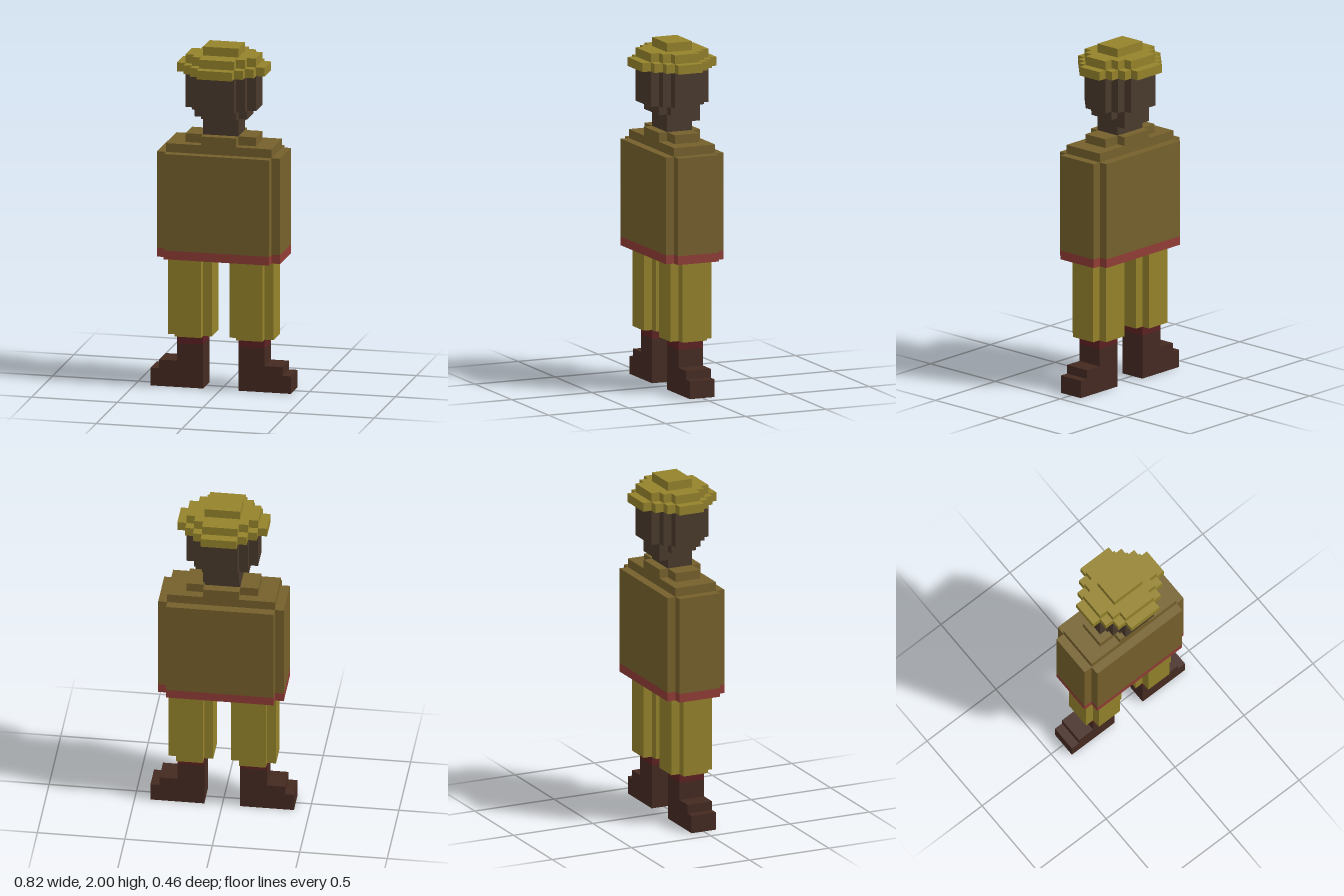
import * as THREE from 'three';

const U = 2 / 39; // one block

const paint = (name, color) => {
  const m = new THREE.MeshStandardMaterial({ color });
  m.name = name;
  return m;
};

// Prism with a stepped outline: steps list [halfX, halfZ] from widest to deepest
function layer(name, mat, y0, y1, steps, x = 0) {
  const quarter = [];
  steps.forEach(([hx, hz], i) => {
    quarter.push([hx, i ? steps[i - 1][1] : 0], [hx, hz]);
  });
  quarter.shift(); // first point lies on the axis
  const back = [...quarter].reverse();
  const pts = [
    ...quarter,
    ...back.map(([a, b]) => [-a, b]),
    ...quarter.map(([a, b]) => [-a, -b]),
    ...back.map(([a, b]) => [a, -b]),
  ].map(([a, b]) => new THREE.Vector2((a + x) * U, b * U));
  const geo = new THREE.ExtrudeGeometry(new THREE.Shape(pts), { depth: (y1 - y0) * U, bevelEnabled: false });
  geo.rotateX(-Math.PI / 2);
  geo.translate(0, y0 * U, 0);
  const mesh = new THREE.Mesh(geo, mat);
  mesh.name = name;
  return mesh;
}

// Boot seen from the front, toe pointing outwards
function boot(mat, side) {
  const pts = [[2, 0], [8, 0], [8, 2], [7, 2], [7, 3], [5, 3], [5, 5], [2, 5]];
  const shape = new THREE.Shape(pts.map(([x, y]) => new THREE.Vector2(side * x * U, y * U)));
  const geo = new THREE.ExtrudeGeometry(shape, { depth: 3 * U, bevelEnabled: false });
  geo.translate(0, 0, -1.5 * U);
  const mesh = new THREE.Mesh(geo, mat);
  mesh.name = 'boot';
  return mesh;
}

export function createModel() {
  const skin = paint('skin', 0x4a3a2c);
  const olive = paint('olive cloth', 0x95832b);
  const coat = paint('brown coat', 0x76612c);
  const red = paint('red hem', 0x913d35);
  const cuffRed = paint('dark red cuff', 0x5e2122);
  const leather = paint('boot leather', 0x452a21);

  const model = new THREE.Group();
  model.name = 'figure';

  // Legs
  for (const side of [1, -1]) {
    const leg = new THREE.Group();
    leg.name = side > 0 ? 'leftLeg' : 'rightLeg';
    leg.add(
      boot(leather, side),
      layer('cuff', cuffRed, 5, 6, [[1.5, 1.5]], side * 3.5),
      layer('trouserLeg', olive, 6, 15, [[2.5, 1.5], [1.5, 2.5]], side * 3.5),
    );
    model.add(leg);
  }

  // Coat
  const body = [[7, 2.5], [6, 3.5]];
  model.add(
    layer('hem', red, 15, 16, body),
    layer('torso', coat, 16, 27, body),
    layer('shoulders', coat, 27, 28, [[6, 2.5]]),
    layer('collar', coat, 28, 29, [[4, 1.5], [2, 2.5]]),
  );

  // Head
  const round = [[4, 1.5], [3, 2.5], [2, 3.5]];
  const head = new THREE.Group();
  head.name = 'head';
  const nape = new THREE.Mesh(new THREE.BoxGeometry(4 * U, U, U), skin);
  nape.name = 'nape';
  nape.position.set(0, 30.5 * U, -2 * U);
  head.add(
    layer('neck', skin, 29, 31, [[2, 1.5]]),
    nape,
    layer('jaw', skin, 31, 32, [[3, 1.5], [2, 2.5]]),
    layer('face', skin, 32, 36, round),
  );
  model.add(head);

  // Hat
  const hat = new THREE.Group();
  hat.name = 'hat';
  hat.add(
    layer('brim', olive, 36, 37, [[5, 1.5], [4, 2.5], [3, 3.5], [2, 4.5]]),
    layer('crown', olive, 37, 38, round),
    layer('hatTop', olive, 38, 39, [[2, 1.5]]),
  );
  model.add(hat);
  return model;
}
